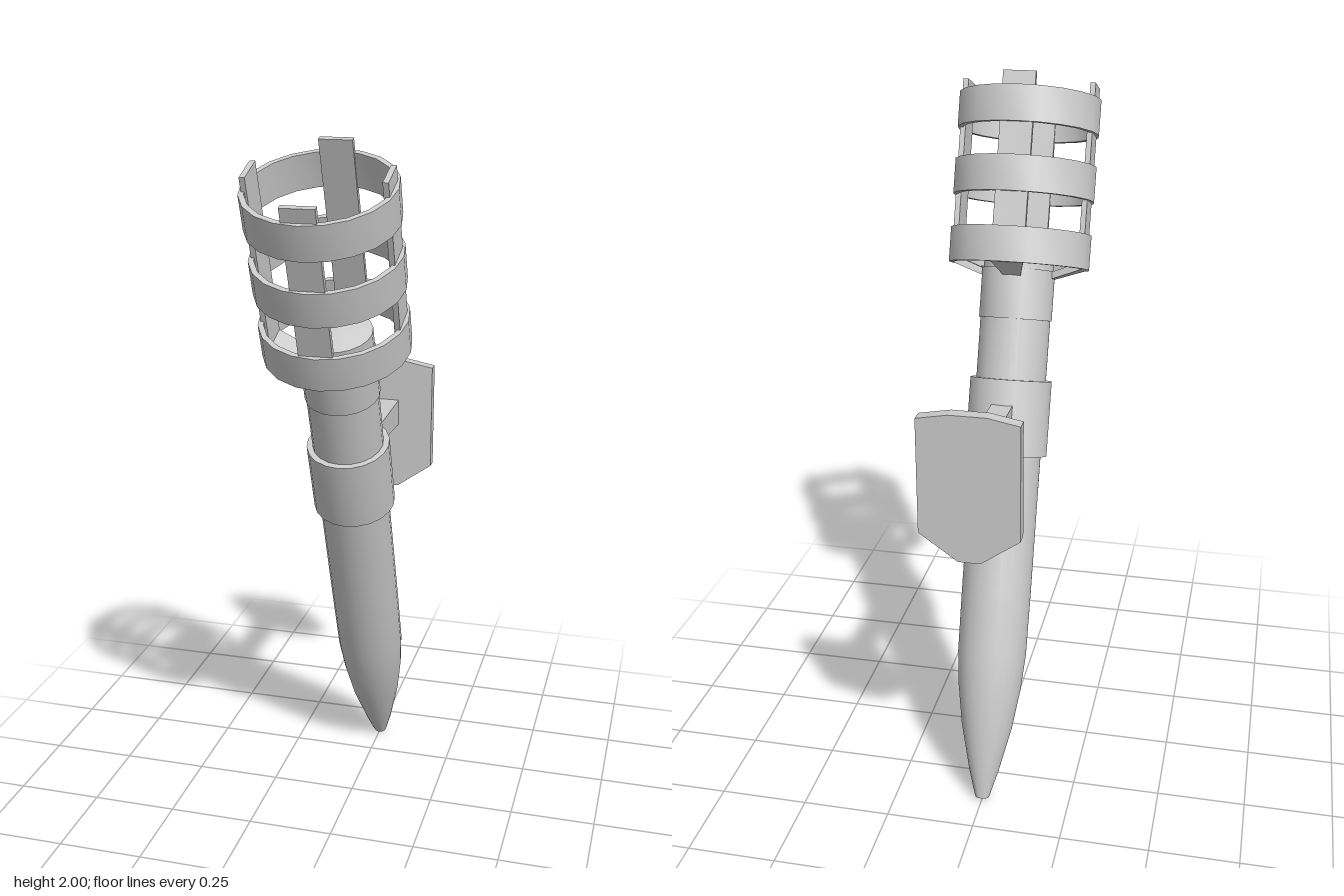
import * as THREE from 'three';
import { toCreasedNormals } from 'three/addons/utils/BufferGeometryUtils.js';

const material = new THREE.MeshStandardMaterial({ color: 0xcccccc });
const SIDES = 20;

function addMesh(parent, name, geometry, crease = 0.6) {
  const mesh = new THREE.Mesh(toCreasedNormals(geometry, crease), material);
  mesh.name = name;
  parent.add(mesh);
  return mesh;
}

function shapeOf(points) {
  return new THREE.Shape(points.map(([x, y]) => new THREE.Vector2(x, y)));
}

// Turned part from [radius, height] pairs, listed upwards on the outside
function turned(points) {
  return new THREE.LatheGeometry(points.map(([r, y]) => new THREE.Vector2(r, y)), SIDES);
}

// Hollow band with a rectangular section
function band(inner, outer, y0, y1) {
  return turned([[inner, y0], [outer, y0], [outer, y1], [inner, y1], [inner, y0]]);
}

// Flat strip that flares out from the shaft and then rises inside the hoops
function cageStrip() {
  const width = 0.09;
  const profile = shapeOf([
    [0.09, 1.505], [0.187, 1.54], [0.187, 2.05], [0.172, 2.05], [0.172, 1.555], [0.09, 1.525],
  ]);
  const geometry = new THREE.ExtrudeGeometry(profile, { depth: width, bevelEnabled: false });
  geometry.translate(0, 0, -width / 2);
  // Narrow the foot where it meets the shaft
  const p = geometry.attributes.position;
  for (let i = 0; i < p.count; i++) {
    if (p.getX(i) < 0.12) p.setZ(i, p.getZ(i) * 0.5);
  }
  return geometry;
}

export function createModel() {
  const model = new THREE.Group();
  model.name = 'wallTorch';

  // Leaning torch, built upright from its tip
  const torch = new THREE.Group();
  torch.name = 'torch';
  torch.position.set(0, 0.012, -0.376);
  torch.rotation.x = THREE.MathUtils.degToRad(20);
  model.add(torch);

  addMesh(torch, 'shaft', turned([
    [0, 0], [0.02, 0], [0.043, 0.08], [0.074, 0.215], [0.091, 0.33], [0.099, 0.43],
    [0.1, 0.6], [0.1, 1.59], [0.03, 1.605], [0, 1.605],
  ]));
  addMesh(torch, 'upperSleeve', band(0.095, 0.104, 1.39, 1.53));
  addMesh(torch, 'collar', band(0.095, 0.117, 1.007, 1.22));

  // Fire cage: three hoops and four upright strips
  const cage = new THREE.Group();
  cage.name = 'cage';
  torch.add(cage);
  for (const y of [1.54, 1.73, 1.915]) {
    addMesh(cage, 'cageHoop', band(0.185, 0.2, y, y + 0.097));
  }
  for (let i = 0; i < 4; i++) {
    addMesh(cage, 'cageStrip', cageStrip(), 0.3).rotation.y = i * Math.PI / 2;
  }

  // Wall bracket arm, growing deeper towards the plate
  const arm = new THREE.ExtrudeGeometry(
    shapeOf([[0.08, 1.08], [0.46, 1.06], [0.46, 1.14], [0.08, 1.13]]),
    { depth: 0.06, bevelEnabled: false },
  );
  arm.translate(0, 0, -0.03);
  arm.rotateY(Math.PI / 2);
  addMesh(model, 'bracketArm', arm, 0.02);

  // Wall plate with a slightly arched top and a pointed bottom
  const plate = new THREE.ExtrudeGeometry(
    shapeOf([
      [-0.03, 0.855], [0.03, 0.855], [0.135, 0.93], [0.135, 1.25],
      [0.05, 1.266], [-0.05, 1.266], [-0.135, 1.25], [-0.135, 0.93],
    ]),
    { depth: 0.036, bevelEnabled: false },
  );
  plate.translate(0, 0, -0.498);
  addMesh(model, 'wallPlate', plate, 0.1);

  return model;
}
